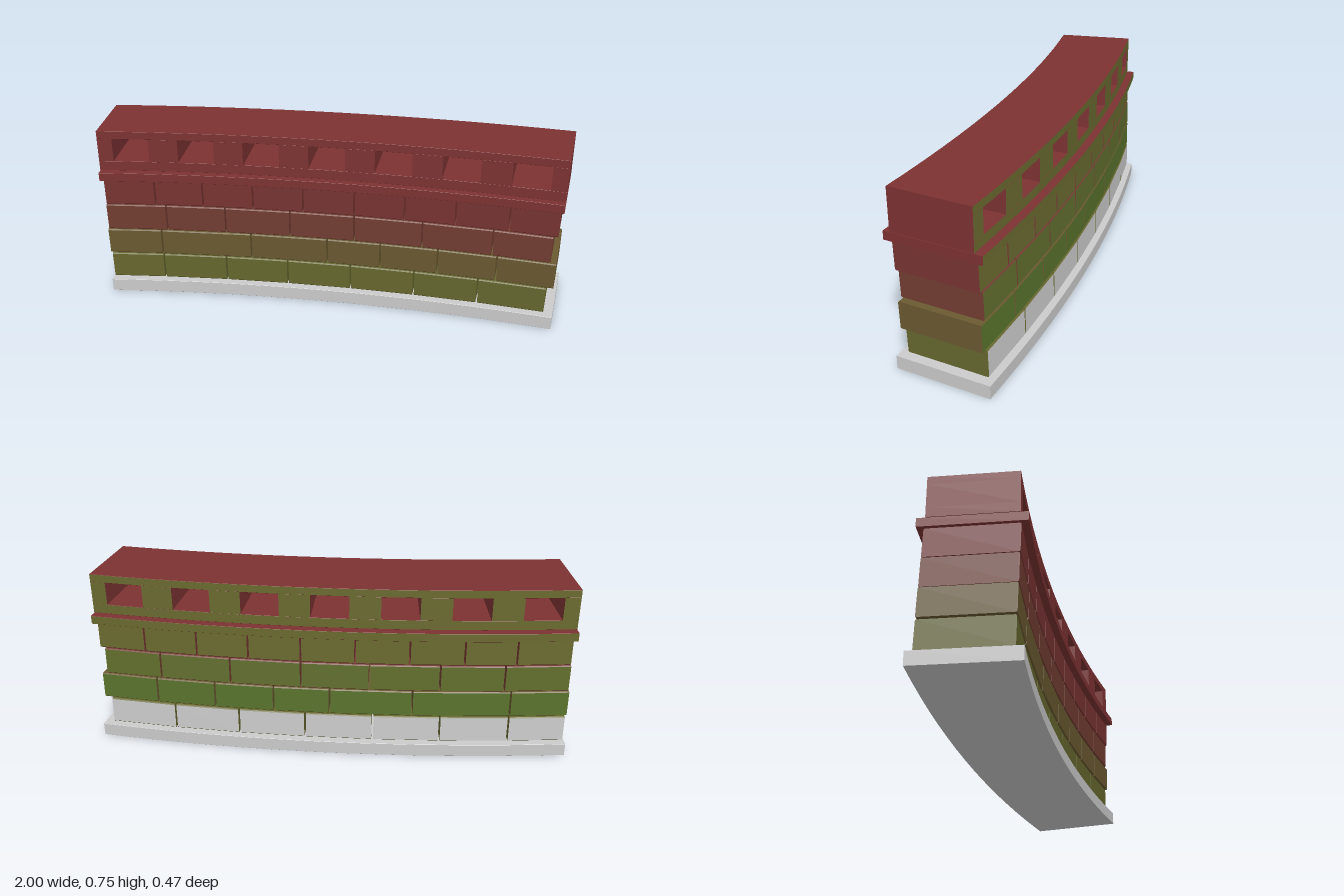
import * as THREE from 'three';

const CENTER_Z = 7.485;    // axis of the wall's curve, in front of the wall
const HALF_ANGLE = 0.1299; // half of the wall's sweep

const RED = 0x7d3232, OLIVE = 0x6a6a30, GREY = 0xcccccc;
const materials = new Map();
function material(color) {
  if (!materials.has(color)) materials.set(color, new THREE.MeshStandardMaterial({ color, flatShading: true }));
  return materials.get(color);
}

// Curved block: a chamfered (radius, height) section swept from angle a0 to a1.
// lean moves the top edge towards the front. Group 1 is the back face.
function arcBlock({ ri, ro, y0, y1, a0, a1, c = 0.001, lean = 0, steps = 1 }) {
  const profile = [
    [ri + c, y0], [ro - c, y0], [ro, y0 + c], [ro - lean, y1 - c],
    [ro - c - lean, y1], [ri + c - lean, y1], [ri - lean, y1 - c], [ri, y0 + c],
  ];
  const n = profile.length;
  const point = (j, a) => {
    const [r, y] = profile[j % n];
    return [r * Math.sin(a), y, CENTER_Z - r * Math.cos(a)];
  };
  const body = [], back = [];
  for (let s = 0; s < steps; s++) {
    const u = a0 + (a1 - a0) * s / steps, v = a0 + (a1 - a0) * (s + 1) / steps;
    for (let j = 0; j < n; j++) {
      const [A, B, C, D] = [point(j, u), point(j + 1, u), point(j + 1, v), point(j, v)];
      (j === 2 ? back : body).push(...A, ...B, ...C, ...A, ...C, ...D);
    }
  }
  for (let j = 1; j < n - 1; j++) {
    body.push(...point(0, a1), ...point(j, a1), ...point(j + 1, a1));
    body.push(...point(0, a0), ...point(j + 1, a0), ...point(j, a0));
  }
  const geometry = new THREE.BufferGeometry();
  geometry.setAttribute('position', new THREE.Float32BufferAttribute([...body, ...back], 3));
  geometry.addGroup(0, body.length / 3, 0);
  geometry.addGroup(body.length / 3, back.length / 3, 1);
  geometry.computeVertexNormals();
  return geometry;
}

function addBlock(parent, name, options, color, backColor) {
  const mesh = new THREE.Mesh(arcBlock(options), [material(color), material(backColor)]);
  mesh.name = name;
  parent.add(mesh);
}

// Brick courses, bottom to top; joints are x positions on the front face
const COURSES = [
  { y0: 0.058, y1: 0.172, ri: 7.355, ro: 7.694, ends: [-0.129, 0.1248],
    joints: [-0.72, -0.444, -0.174, 0.10, 0.372, 0.64], color: 0x67682f, back: GREY },
  { y0: 0.178, y1: 0.291, ri: 7.350, ro: 7.690, ends: [-0.1297, 0.1288],
    joints: [-0.72, -0.33, 0, 0.227, 0.468, 0.71], color: 0x6b5a31, back: 0x58722c },
  { y0: 0.296, y1: 0.411, ri: 7.346, ro: 7.687, ends: [-0.129, 0.1257],
    joints: [-0.69, -0.436, -0.158, 0.115, 0.40, 0.687], color: 0x733e32, back: 0x616e2e },
  { y0: 0.416, y1: 0.532, ri: 7.342, ro: 7.684, ends: [-0.1286, 0.1282],
    joints: [-0.73, -0.527, -0.313, -0.10, 0.115, 0.324, 0.532, 0.746], color: 0x783432, back: OLIVE },
];

export function createModel() {
  const wall = new THREE.Group();
  wall.name = 'curvedBrickWall';
  const slab = (name, y0, y1, ri, ro, color, back) =>
    addBlock(wall, name, { ri, ro, y0, y1, a0: -HALF_ANGLE, a1: HALF_ANGLE, steps: 16 }, color, back);

  // Footing
  slab('base', 0, 0.055, 7.327, 7.72, GREY, GREY);

  // Staggered bricks with open joints
  COURSES.forEach(({ y0, y1, ri, ro, ends, joints, color, back }, i) => {
    const course = new THREE.Group();
    course.name = `brickCourse${i + 1}`;
    const edges = [ends[0], ...joints.map(x => Math.asin(x / ri)), ends[1]];
    const gap = 0.0005;
    for (let k = 0; k < edges.length - 1; k++) {
      addBlock(course, 'brick', {
        ri, ro, y0, y1, c: 0.004, lean: 0.003,
        a0: edges[k] + (k ? gap : 0),
        a1: edges[k + 1] - (k < edges.length - 2 ? gap : 0),
      }, color, back);
    }
    wall.add(course);
  });

  // Projecting cornice and the parapet's lower rail
  slab('cornice', 0.535, 0.571, 7.312, 7.707, RED, OLIVE);
  slab('lowerRail', 0.573, 0.614, 7.34, 7.675, RED, OLIVE);

  // Parapet piers; the two end ones are cut off by the wall's ends
  const piers = new THREE.Group();
  piers.name = 'parapetPiers';
  for (let k = -3.5; k <= 3.5; k++) {
    const a = k * 0.0371, half = 0.0083;
    addBlock(piers, 'pier', {
      ri: 7.34, ro: 7.675, y0: 0.613, y1: 0.713,
      a0: Math.max(a - half, -HALF_ANGLE), a1: Math.min(a + half, HALF_ANGLE),
    }, RED, OLIVE);
  }
  wall.add(piers);

  // Coping slab on top
  slab('coping', 0.712, 0.745, 7.34, 7.675, RED, OLIVE);
  return wall;
}
